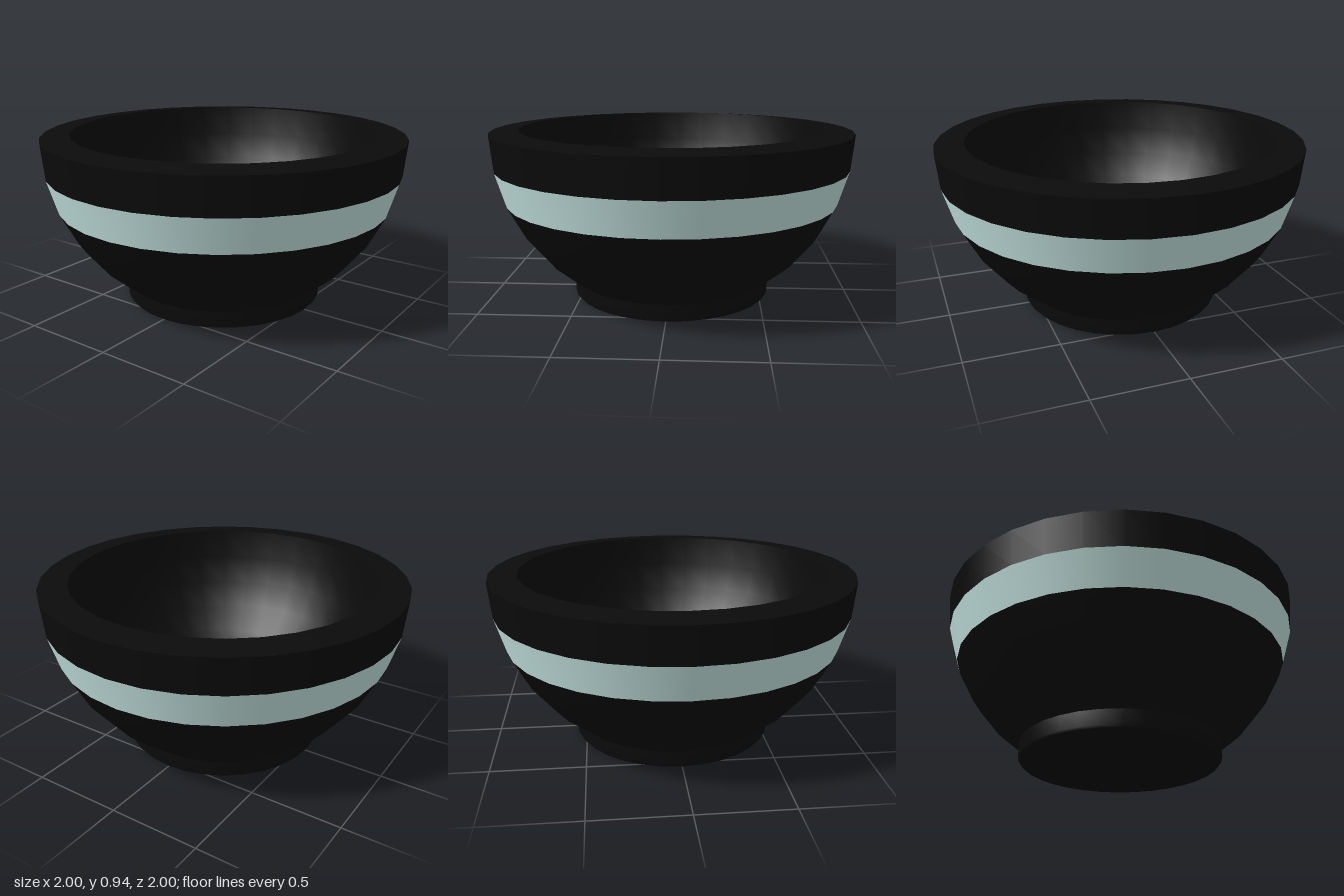
import * as THREE from 'three';

const SIDES = 32;
const RIM_Y = 0.925;
const STEP = Math.PI / 16;

const black = new THREE.MeshStandardMaterial({ color: 0x0b0b0b });
const paleTeal = new THREE.MeshStandardMaterial({ color: 0xcdeeea });

// Profile point on the outer hemisphere, counted in rings below the rim
const outer = (ring) => [Math.cos(ring * STEP), RIM_Y - Math.sin(ring * STEP)];

function turned(name, points, material) {
  const profile = points.map(([r, y]) => new THREE.Vector2(r, y));
  const mesh = new THREE.Mesh(new THREE.LatheGeometry(profile, SIDES), material);
  mesh.name = name;
  return mesh;
}

export function createModel() {
  const bowl = new THREE.Group();
  bowl.name = 'bowl';

  // Foot: closed base and short upright ring with a softened lower edge
  bowl.add(turned('footBase', [[0, 0], [0.545, 0]], black));
  bowl.add(turned('footRing', [[0.545, 0], [0.555, 0.012], outer(5)], black));

  // Outer wall with its coloured band
  bowl.add(turned('lowerWall', [5, 4, 3, 2].map(outer), black));
  bowl.add(turned('colourBand', [outer(2), outer(1)], paleTeal));
  bowl.add(turned('upperWall', [outer(1), outer(0)], black));

  // Thick, slightly raised lip
  const innerRadius = 0.84, lipY = 0.94;
  bowl.add(turned('rim', [outer(0), [innerRadius, lipY]], black));

  // Hollow interior
  const hollow = [];
  for (let i = 0; i <= 8; i++) {
    const a = i * STEP;
    hollow.push([i === 8 ? 0 : innerRadius * Math.cos(a), lipY - innerRadius * Math.sin(a)]);
  }
  bowl.add(turned('interior', hollow, black));

  return bowl;
}
